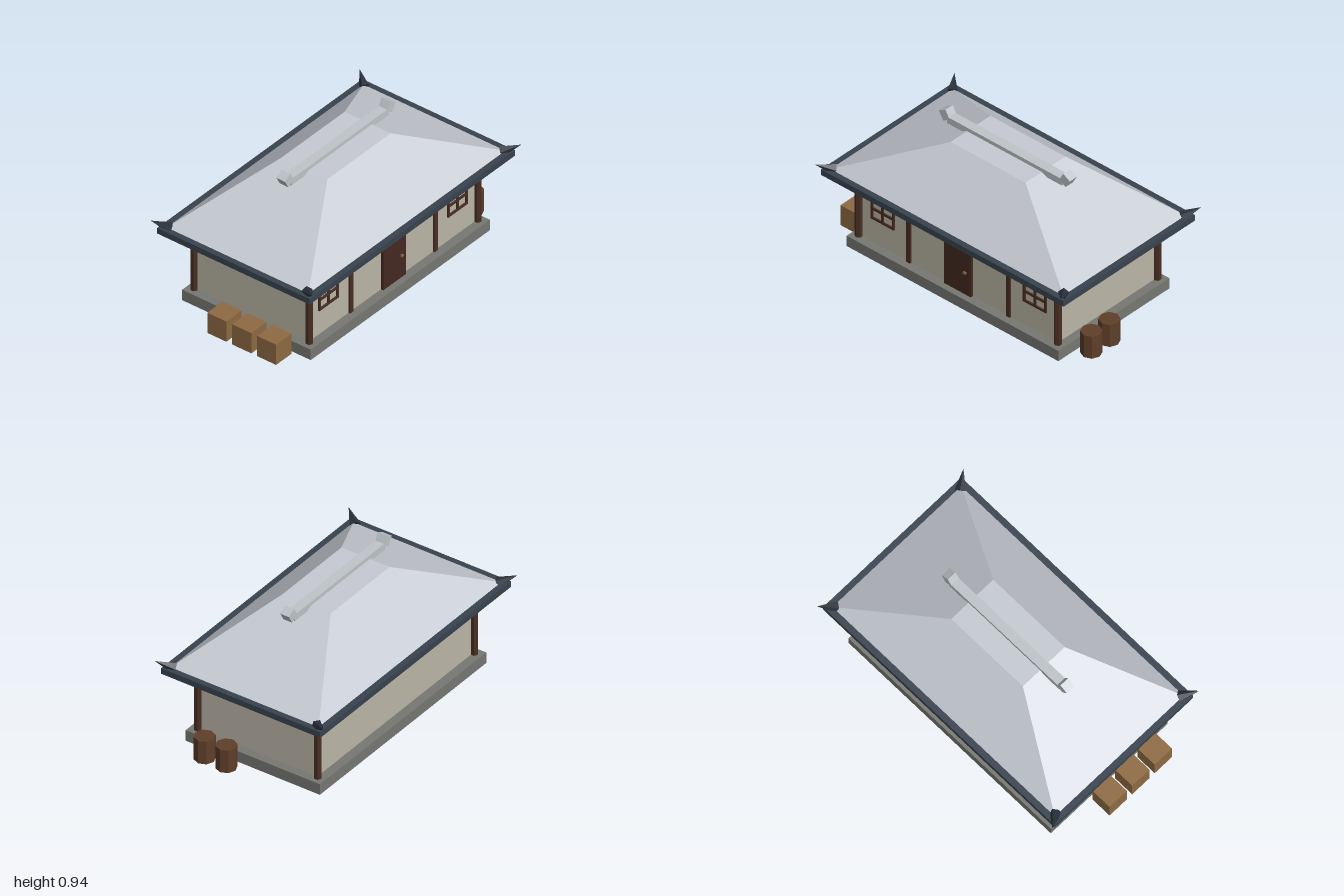
import * as THREE from 'three';

const mat = (name, color) => {
  const m = new THREE.MeshStandardMaterial({ color, flatShading: true });
  m.name = name;
  return m;
};

export function createModel() {
  const stone = mat('stone', 0x767772);
  const plaster = mat('plaster', 0xbab5a6);
  const darkWood = mat('darkWood', 0x482d22);
  const doorWood = mat('doorWood', 0x432920);
  const slate = mat('slate', 0x38434f);
  const darkSlate = mat('darkSlate', 0x2a313c);
  const roofTile = mat('roofTile', 0xc6cad2);
  const ridgeTile = mat('ridgeTile', 0xbec4c8);
  const crateWood = mat('crateWood', 0x8e6a42);
  const barrelWood = mat('barrelWood', 0x5f3f2a);

  const model = new THREE.Group();
  model.name = 'house';
  const house = new THREE.Group();
  house.name = 'building';
  house.position.x = 0.008;
  model.add(house);

  const add = (parent, name, geo, material, x, y, z) => {
    const m = new THREE.Mesh(geo, material);
    m.name = name;
    m.position.set(x, y, z);
    parent.add(m);
    return m;
  };
  const box = (parent, name, material, w, h, d, x, y, z) =>
    add(parent, name, new THREE.BoxGeometry(w, h, d), material, x, y, z);

  // Foundation and walls
  box(house, 'foundation', stone, 1.685, 0.075, 0.97, 0, 0.0375, 0);
  box(house, 'walls', plaster, 1.57, 0.435, 0.85, 0, 0.2925, 0);
  const front = 0.425;

  // Corner posts and the beams between them
  for (const sx of [-1, 1]) {
    for (const sz of [-1, 1]) {
      add(house, 'cornerPost', new THREE.CylinderGeometry(0.0246, 0.0246, 0.435, 6),
        darkWood, sx * 0.792, 0.2925, sz * 0.434);
    }
    box(house, 'sideBeam', darkWood, 0.03, 0.045, 0.85, sx * 0.785, 0.4875, 0);
    box(house, 'longBeam', darkWood, 1.57, 0.045, 0.03, 0, 0.4875, sx * front);
  }
  for (const x of [-0.397, 0, 0.397]) {
    box(house, 'frontPost', darkWood, 0.03, 0.39, 0.025, x, 0.27, front);
  }

  // Door with handle
  box(house, 'door', doorWood, 0.214, 0.33, 0.035, 0, 0.24, front);
  box(house, 'doorHandle', crateWood, 0.018, 0.014, 0.014, 0.062, 0.235, front + 0.022);

  // Window lattices
  for (const s of [-1, 1]) {
    const win = new THREE.Group();
    win.name = 'window';
    win.position.set(s * 0.606, 0.325, front);
    house.add(win);
    for (const k of [-1, 0, 1]) {
      box(win, 'windowUpright', darkWood, 0.015, 0.152, 0.02, k * 0.085, 0, 0);
      box(win, 'windowRail', darkWood, 0.185, 0.015, 0.02, 0, k * 0.0685, 0);
    }
  }

  // Eaves and hipped roof with a flat top
  box(house, 'eaves', slate, 1.93, 0.04, 1.15, 0, 0.53, 0);
  const roof = new THREE.BoxGeometry(1.852, 0.315, 1.07);
  const p = roof.attributes.position;
  for (let i = 0; i < p.count; i++) {
    if (p.getY(i) > 0) {
      p.setX(i, Math.sign(p.getX(i)) * 0.298);
      p.setZ(i, Math.sign(p.getZ(i)) * 0.174);
    }
  }
  roof.computeVertexNormals();
  add(house, 'roof', roof, roofTile, 0, 0.7075, 0);

  // Upturned horns on the eave corners
  const up = new THREE.Vector3(0, 1, 0);
  for (const sx of [-1, 1]) {
    for (const sz of [-1, 1]) {
      const base = new THREE.Vector3(sx * 0.912, 0.546, sz * 0.515);
      const tip = new THREE.Vector3(sx * 0.982, 0.597, sz * 0.61);
      const dir = tip.clone().sub(base);
      const mid = base.clone().add(tip).multiplyScalar(0.5);
      const horn = add(house, 'eaveHorn', new THREE.ConeGeometry(0.036, dir.length(), 5),
        darkSlate, mid.x, mid.y, mid.z);
      horn.quaternion.setFromUnitVectors(up, dir.normalize());
    }
  }

  // Ridge bar with tilted end blocks
  box(house, 'ridgeBar', ridgeTile, 0.918, 0.046, 0.062, 0, 0.868, 0);
  for (const s of [-1, 1]) {
    const end = box(house, 'ridgeEnd', ridgeTile, 0.06, 0.067, 0.064, s * 0.478, 0.893, 0);
    end.rotation.z = -s * 0.52;
  }

  // Crates on one side, barrels on the other
  for (const z of [-0.09, 0.098, 0.285]) {
    box(model, 'crate', crateWood, 0.144, 0.146, 0.144, -0.928, 0.073, z);
  }
  for (const z of [0.131, 0.288]) {
    add(model, 'barrel', new THREE.CylinderGeometry(0.066, 0.066, 0.16, 8),
      barrelWood, 0.934, 0.08, z);
  }
  return model;
}
